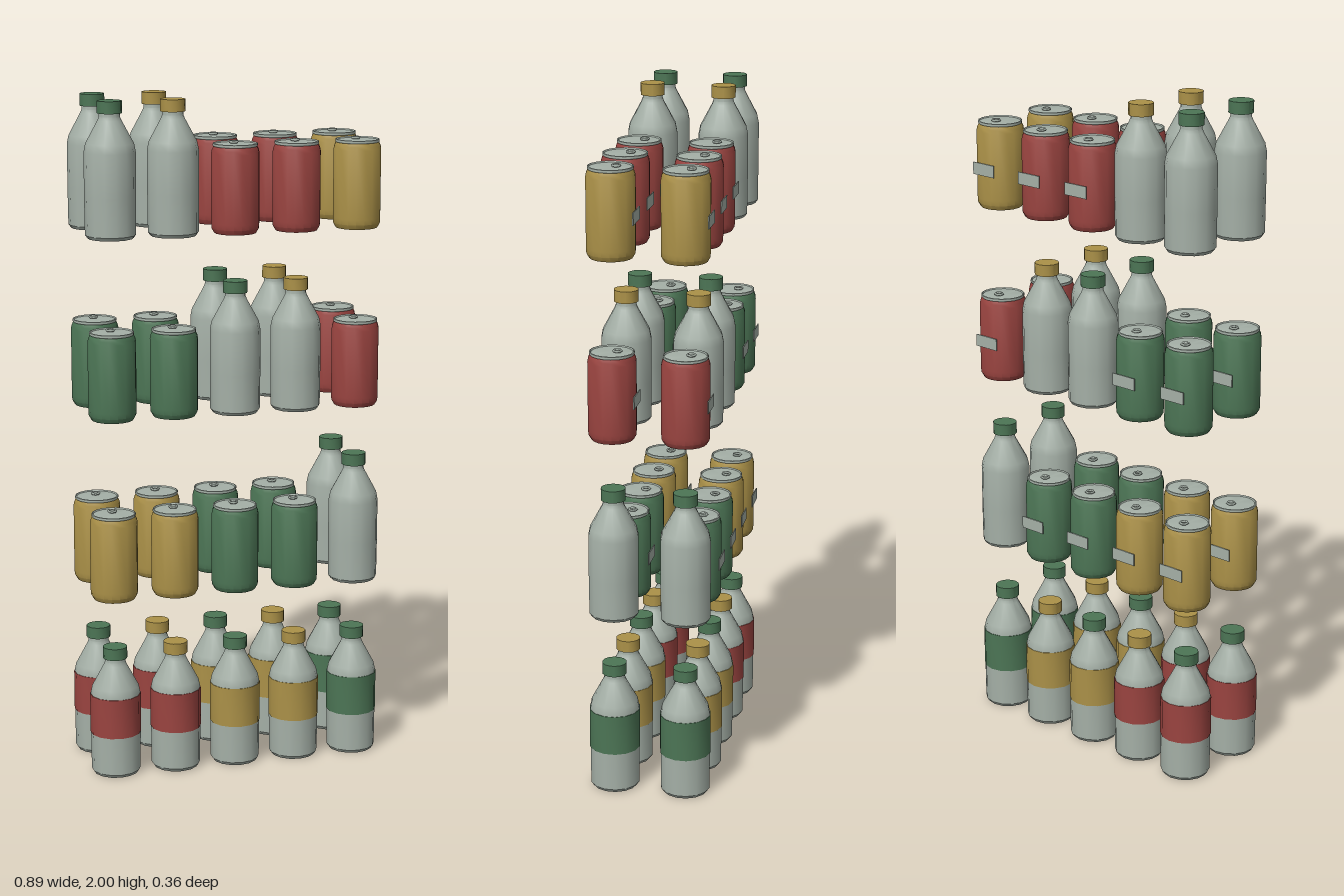
import * as THREE from 'three';
import { toCreasedNormals } from 'three/addons/utils/BufferGeometryUtils.js';

const mat = (name, color) => {
  const m = new THREE.MeshStandardMaterial({ color });
  m.name = name;
  return m;
};

// Turned shape from [radius, height] pairs, listed bottom to top
const turned = (points, sides) => toCreasedNormals(
  new THREE.LatheGeometry(points.map(([r, y]) => new THREE.Vector2(r, y)), sides), 0.55);

export function createModel() {
  const colours = {
    red: mat('red', 0x9a4440),
    gold: mat('gold', 0xab9148),
    green: mat('green', 0x4c7555),
    grey: mat('pale grey', 0xa5b0a7),
  };

  // Shared geometries
  const bottleBody = turned([[0, 0], [0.066, 0], [0.073, 0.01], [0.074, 0.12], [0.074, 0.245],
    [0.069, 0.27], [0.034, 0.335], [0.03, 0.345], [0.03, 0.362]], 14);
  const bottleCap = turned([[0, 0.355], [0.036, 0.355], [0.036, 0.39], [0, 0.39]], 14);
  const bottleLabel = turned([[0.074, 0.125], [0.0755, 0.125], [0.0755, 0.245], [0.074, 0.245]], 14);
  const canBody = turned([[0, 0], [0.061, 0], [0.069, 0.014], [0.07, 0.03], [0.07, 0.23],
    [0.068, 0.24], [0.063, 0.251]], 18);
  const canLid = turned([[0.063, 0.249], [0.065, 0.252], [0.065, 0.258], [0.062, 0.259],
    [0.06, 0.255], [0, 0.255]], 18);
  const canTab = new THREE.TorusGeometry(0.011, 0.004, 5, 7).rotateX(Math.PI / 2);
  const canPlate = new THREE.BoxGeometry(0.084, 0.036, 0.003);

  const add = (group, name, geometry, material, x = 0, y = 0, z = 0) => {
    const mesh = new THREE.Mesh(geometry, material);
    mesh.name = name;
    mesh.position.set(x, y, z);
    group.add(mesh);
  };

  const makeBottle = (cap, label) => {
    const g = new THREE.Group();
    g.name = 'bottle';
    add(g, 'bottleBody', bottleBody, colours.grey);
    add(g, 'bottleCap', bottleCap, colours[cap]);
    if (label) add(g, 'bottleLabel', bottleLabel, colours[label]);
    return g;
  };

  const makeCan = (colour) => {
    const g = new THREE.Group();
    g.name = 'can';
    add(g, 'canBody', canBody, colours[colour]);
    add(g, 'canLid', canLid, colours.grey);
    add(g, 'pullTab', canTab, colours.grey, 0, 0.26, -0.016);
    add(g, 'backPlate', canPlate, colours.grey, 0, 0.12, -0.0715);
    return g;
  };

  const bottle = (cap, label) => () => makeBottle(cap, label);
  const can = (colour) => () => makeCan(colour);

  // Each level lists its items from -x to +x
  const levels = [
    { y: 0, items: [bottle('green', 'red'), bottle('gold', 'red'), bottle('green', 'gold'),
      bottle('gold', 'gold'), bottle('green', 'green')] },
    { y: 0.54, items: [can('gold'), can('gold'), can('green'), can('green'), bottle('green')] },
    { y: 1.08, items: [can('green'), can('green'), bottle('green'), bottle('gold'), can('red')] },
    { y: 1.61, items: [bottle('green'), bottle('gold'), can('red'), can('red'), can('gold')] },
  ];

  const model = new THREE.Group();
  model.name = 'drinksDisplay';
  levels.forEach(({ y, items }, i) => {
    const level = new THREE.Group();
    level.name = `level${i + 1}`;
    level.position.y = y;
    items.forEach((make, column) => {
      for (const z of [-0.106, 0.106]) {
        const item = make();
        item.position.set((column - 2) * 0.185, 0, z);
        level.add(item);
      }
    });
    model.add(level);
  });
  return model;
}
